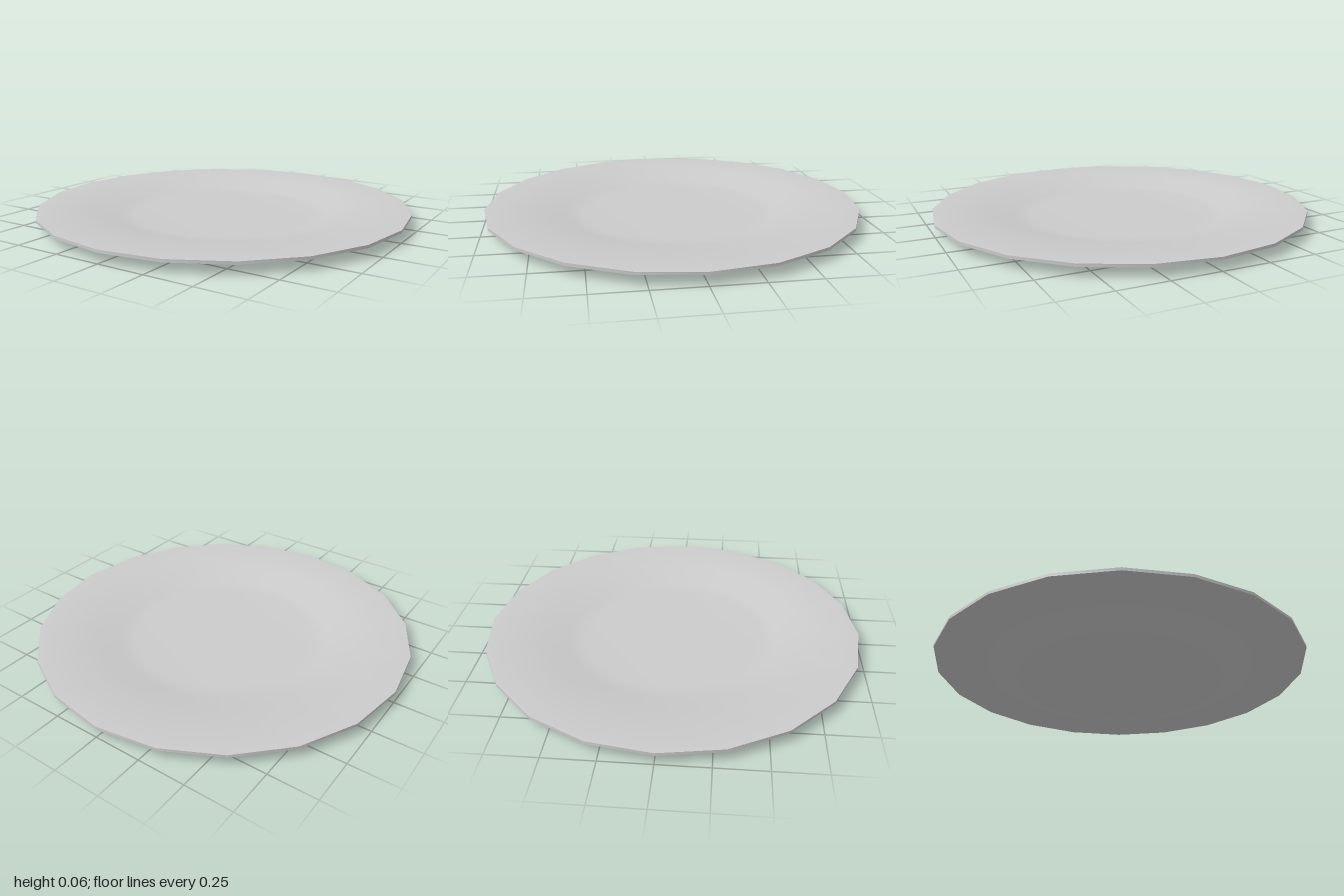
import * as THREE from 'three';
import { toCreasedNormals } from 'three/addons/utils/BufferGeometryUtils.js';

const SIDES = 20;
const THICKNESS = 0.015;

export function createModel() {
  const group = new THREE.Group();
  group.name = 'plate';

  // One face of the plate: flat well, sloping shoulder, wide flat rim
  const face = [[0, 0], [0.48, 0], [0.57, 0.003], [0.71, 0.049], [1, 0.05]];

  // Underside from centre to rim, then the upper face back to the centre
  const profile = [
    ...face.map(([r, y]) => new THREE.Vector2(r, r < 0.6 ? 0 : y)),
    ...face.map(([r, y]) => new THREE.Vector2(r, y + THICKNESS)).reverse(),
  ];

  // Smooth well and shoulder, sharp outer edge
  const geometry = toCreasedNormals(new THREE.LatheGeometry(profile, SIDES), Math.PI / 5);
  const dish = new THREE.Mesh(geometry, new THREE.MeshStandardMaterial({ color: 0xcccccc }));
  dish.name = 'dish';
  group.add(dish);

  return group;
}
